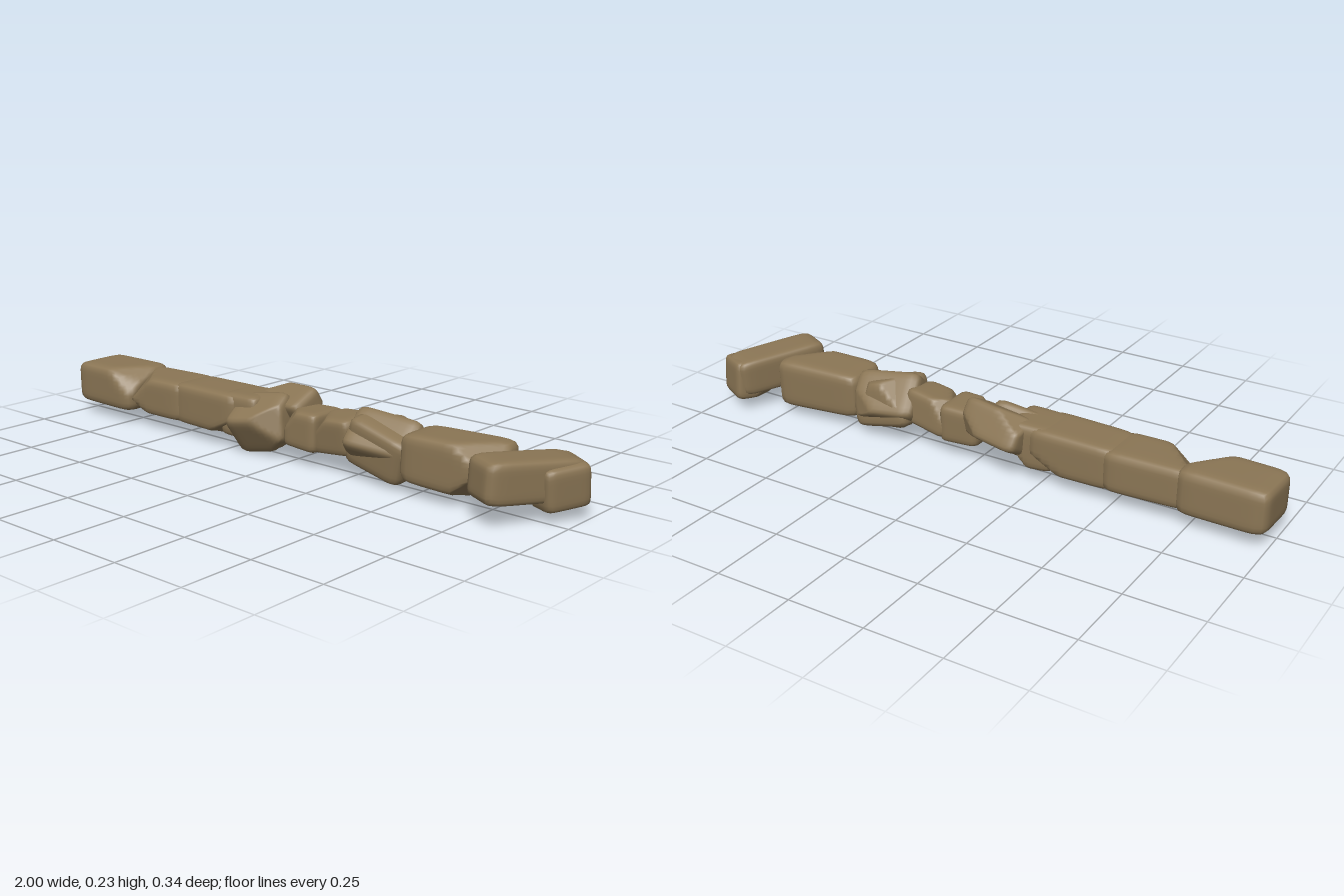
import * as THREE from 'three';
import { mergeVertices } from 'three/addons/utils/BufferGeometryUtils.js';

const stoneMaterial = new THREE.MeshStandardMaterial({ color: 0x8b7655 });
stoneMaterial.name = 'brown stone';

function seeded(seed) {
  let s = seed * 7919 + 13;
  const next = () => (s = (s * 16807) % 2147483647) / 2147483647;
  for (let i = 0; i < 5; i++) next();
  return next;
}

// A worn block: a cube with rounded edges, chipped corners and a slight taper
function stoneGeometry(length, height, depth, chips, rand) {
  const sharpness = 8;
  let geo = new THREE.BoxGeometry(2, 2, 2, 10, 10, 10);
  geo.deleteAttribute('normal');
  geo.deleteAttribute('uv');
  geo = mergeVertices(geo);
  const side = () => (rand() < 0.5 ? -1 : 1);
  const cuts = [];
  for (let i = 0; i < chips; i++) {
    const n = new THREE.Vector3(side(), side() * (0.5 + rand() * 0.5), side() * (0.5 + rand() * 0.5));
    const reach = Math.abs(n.x) + Math.abs(n.y) + Math.abs(n.z);
    cuts.push({ n: n.normalize(), d: reach * (0.4 + rand() * 0.06) });
  }
  const taper = (rand() - 0.5) * 0.1;
  const pos = geo.attributes.position;
  const p = new THREE.Vector3();
  for (let i = 0; i < pos.count; i++) {
    p.fromBufferAttribute(pos, i);
    const r = Math.abs(p.x) ** sharpness + Math.abs(p.y) ** sharpness + Math.abs(p.z) ** sharpness;
    p.divideScalar(r ** (1 / sharpness));
    for (const { n, d } of cuts) {
      const over = p.dot(n) - d;
      if (over > 0) p.addScaledVector(n, -over);
    }
    const grow = 1 + taper * p.x;
    pos.setXYZ(i, p.x * length / 2, p.y * grow * height / 2, p.z * grow * depth / 2);
  }
  geo.computeVertexNormals();
  return geo;
}

function makeStone(name, size, position, turn, chips, rand) {
  const stone = new THREE.Mesh(stoneGeometry(...size, chips, rand), stoneMaterial);
  stone.name = name;
  stone.position.set(...position);
  stone.rotation.set(...turn);
  return stone;
}

// Stones lying along the row: name, middle x, length, height, depth
const LYING = [
  ['leftEndStone', -0.855, 0.29, 0.145, 0.2],
  ['flatStone', -0.61, 0.29, 0.133, 0.185],
  ['middleStone', -0.36, 0.31, 0.143, 0.178],
  ['wedgeStone', -0.21, 0.16, 0.15, 0.165],
  ['smallStone', 0.055, 0.14, 0.125, 0.15],
  ['blockStone', 0.62, 0.32, 0.16, 0.18],
];

// Stones set askew: name, size, position, turn
const ASKEW = [
  ['tiltedLowStone', [0.2, 0.15, 0.15], [-0.125, 0.112, 0.025], [0.55, 0.15, 0.1]],
  ['tiltedHighStone', [0.23, 0.12, 0.12], [-0.085, 0.155, -0.055], [0.5, -0.1, 0.13]],
  ['leaningStone', [0.18, 0.12, 0.135], [0.18, 0.13, -0.005], [0.1, -0.1, 0.12]],
  ['diamondStone', [0.23, 0.16, 0.15], [0.355, 0.122, -0.01], [0.75, 0.05, -0.16]],
  ['diamondSideStone', [0.22, 0.155, 0.165], [0.36, 0.12, -0.008], [0.1, -0.05, -0.25]],
  ['crossBackStone', [0.14, 0.135, 0.155], [0.915, 0.108, -0.072], [0.08, -0.45, 0]],
];

export function createModel() {
  const row = new THREE.Group();
  row.name = 'stoneRow';

  // Lying stones wobble slightly about the line of the row
  LYING.forEach(([name, x, ...size], i) => {
    const rand = seeded(i + 3);
    const wobble = () => (rand() - 0.5) * 0.1;
    row.add(makeStone(name, size, [x, 0.122, -0.005], [wobble(), wobble(), wobble() / 2], 2, rand));
  });

  ASKEW.forEach(([name, size, position, turn], i) => {
    row.add(makeStone(name, size, position, turn, 2, seeded(i + 20)));
  });

  // Smooth slab laid across the right end, its front end a little higher
  row.add(makeStone('crossStone', [0.32, 0.128, 0.135], [0.86, 0.13, 0.004], [0, 1.1, -0.06], 0, seeded(40)));
  return row;
}
